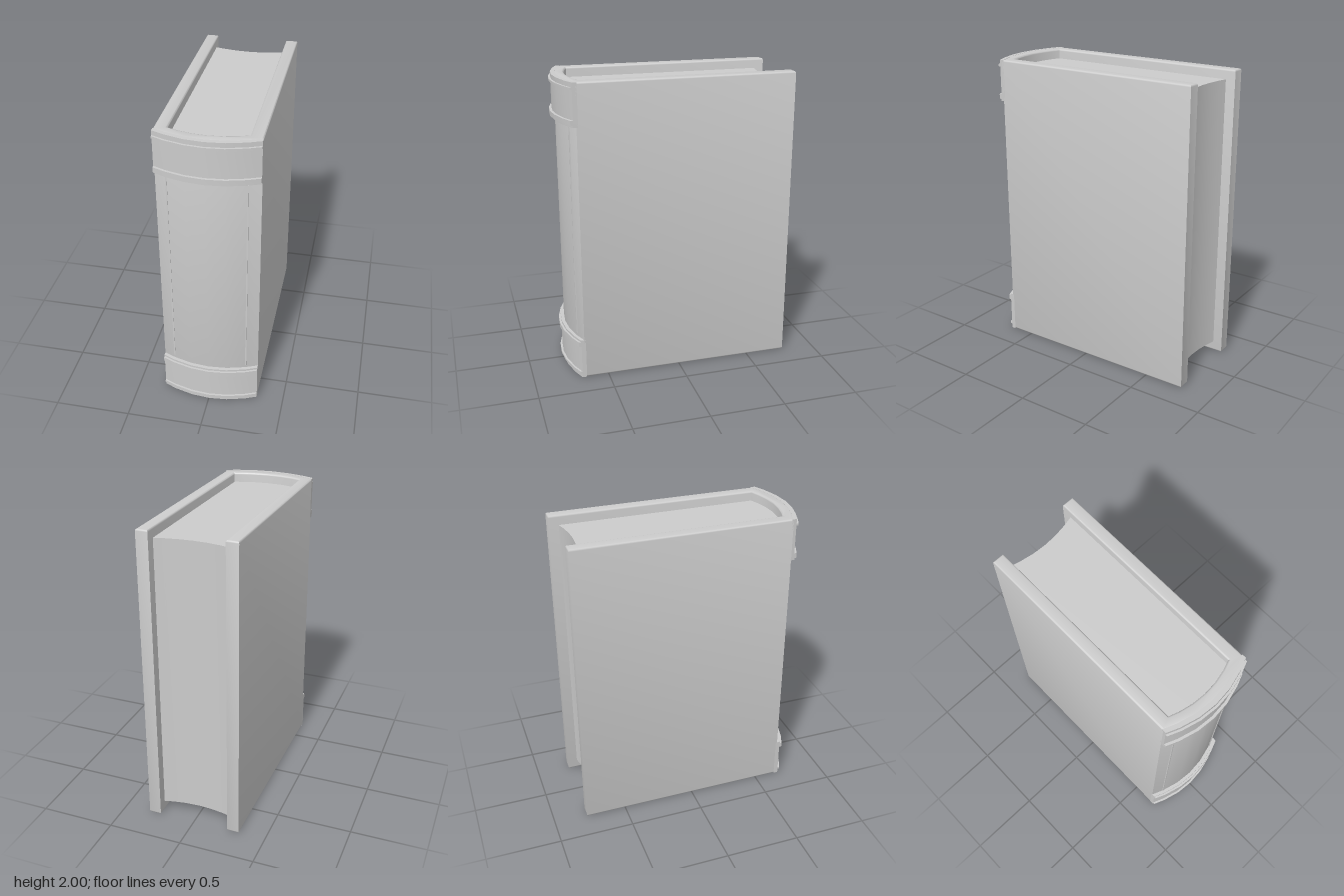
import * as THREE from 'three';
import { toCreasedNormals } from 'three/addons/utils/BufferGeometryUtils.js';

const HALF = 0.32;      // half thickness of the book
const INNER = 0.24;     // half thickness of the page block
const BACK = -0.775;    // fore-edge end of the boards
const SAG = 0.075;      // bulge of the spine

const material = new THREE.MeshStandardMaterial({ color: 0xcccccc });

// Rounded line across the spine from -half to +half; side = z at its ends
function arc(half, side, sag) {
  const steps = [-1, -0.75, -0.375, 0, 0.375, 0.75, 1];
  return steps.map((t) => new THREE.Vector2(t * half, side + sag * (1 - t * t)));
}

// Prism with an (x, z) outline, standing from y0 to y1
function prism(name, outline, y0, y1, bevel = 0) {
  let geo = new THREE.ExtrudeGeometry(new THREE.Shape(outline), {
    depth: y1 - y0 - 2 * bevel,
    bevelEnabled: bevel > 0,
    bevelSize: bevel,
    bevelThickness: bevel,
    bevelOffset: -bevel,
    bevelSegments: 3,
  });
  geo.rotateX(Math.PI / 2);
  geo.translate(0, y1 - bevel, 0);
  geo = toCreasedNormals(geo, 0.55);
  const mesh = new THREE.Mesh(geo, material);
  mesh.name = name;
  return mesh;
}

// Strip wrapped over the spine, its ends reaching forward to z = side
function band(name, side, y0, y1) {
  const back = arc(HALF, 0.65, SAG).reverse();
  return prism(name, [...arc(HALF, side, SAG).reverse(), ...back.reverse()], y0, y1);
}

export function createModel() {
  const book = new THREE.Group();
  book.name = 'book';

  // Two boards and the spine as one U-shaped cover
  const cover = [
    new THREE.Vector2(HALF, BACK),
    ...arc(HALF, 0.66, SAG).reverse(),
    new THREE.Vector2(-HALF, BACK),
    new THREE.Vector2(-INNER, BACK),
    ...arc(INNER, 0.62, 0.047),
    new THREE.Vector2(INNER, BACK),
  ];
  book.add(prism('cover', cover, 0, 2, 0.012));

  // Page block, hollow at the fore-edge and rounded at the spine
  const pages = [
    ...arc(INNER, -0.71, 0.035),
    ...arc(INNER, 0.625, 0.047).reverse(),
  ];
  book.add(prism('pages', pages, 0.065, 1.935));

  // Raised bands, mirrored at the bottom and top of the spine
  const bands = [
    ['spineEndBand', 0.68, 0, 0.25],
    ['thinRidge', 0.694, 0.03, 0.045],
    ['wideRidge', 0.697, 0.232, 0.265],
    ['ridgeStep', 0.683, 0.265, 0.278],
  ];
  for (const [name, side, y0, y1] of bands) {
    book.add(band(name + 'Bottom', side, y0, y1));
    const top = band(name + 'Top', side, 2 - y1, 2 - y0);
    book.add(top);
  }

  // Fine upright lines framing the middle panel
  for (const s of [-1, 1]) {
    const line = new THREE.Mesh(new THREE.BoxGeometry(0.008, 1.41, 0.02), material);
    line.position.set(s * 0.243, 1.005, 0.687);
    line.name = s > 0 ? 'panelLineLeft' : 'panelLineRight';
    book.add(line);
  }
  return book;
}
